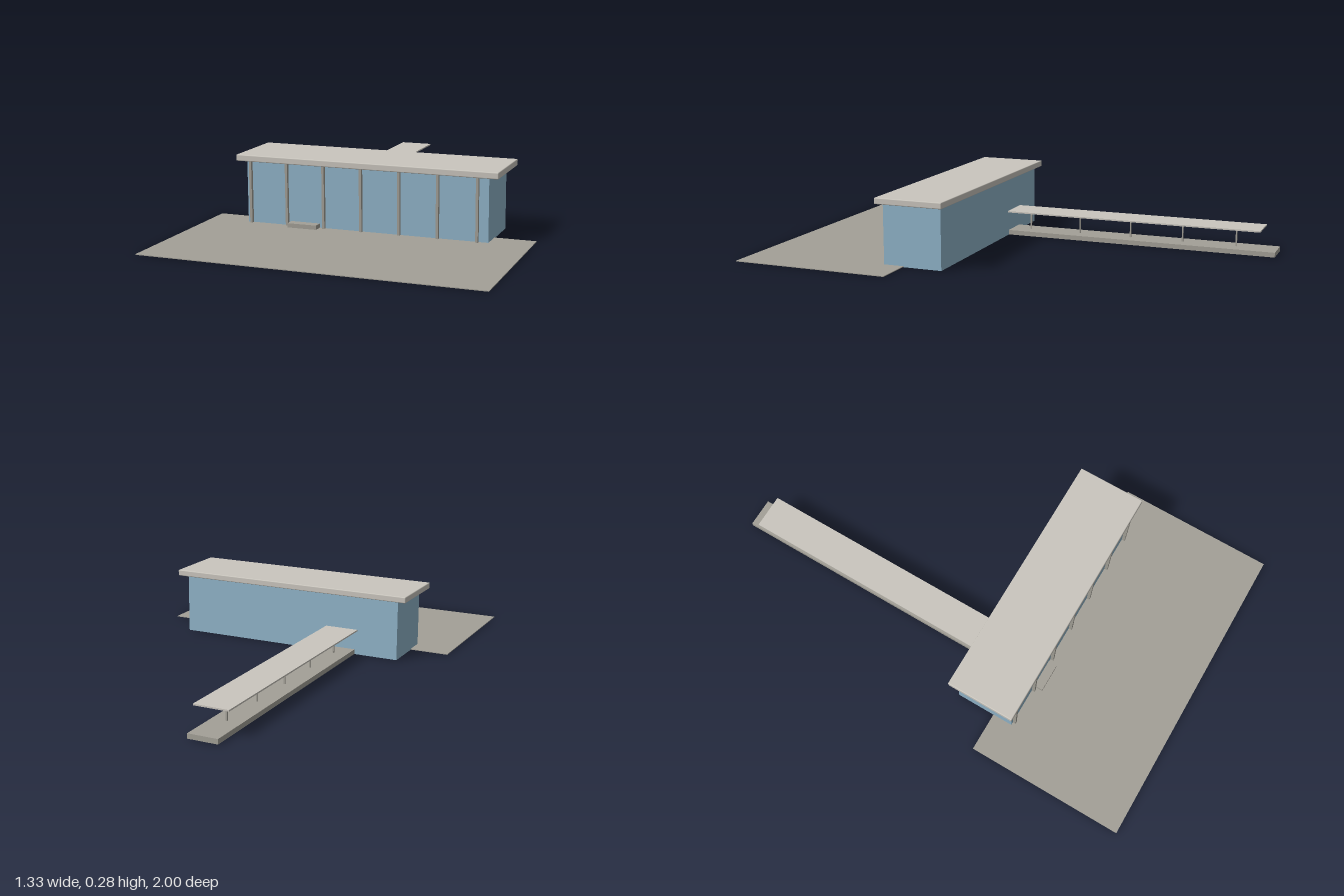
import * as THREE from 'three';
import { RoundedBoxGeometry } from 'three/addons/geometries/RoundedBoxGeometry.js';

const material = (name, color) => {
  const m = new THREE.MeshStandardMaterial({ color });
  m.name = name;
  return m;
};

export function createModel() {
  const model = new THREE.Group();
  model.name = 'stationPavilion';

  const roofStone = material('pale stone', 0xcac6be);
  const paving = material('grey paving', 0xa3a097);
  const glass = material('blue glass', 0x90b4c9);

  // Box given by its extents [min, max] on each axis
  const box = (name, mat, [x0, x1], [y0, y1], [z0, z1], radius = 0) => {
    const size = [x1 - x0, y1 - y0, z1 - z0];
    const geometry = radius
      ? new RoundedBoxGeometry(...size, 2, radius)
      : new THREE.BoxGeometry(...size);
    const mesh = new THREE.Mesh(geometry, mat);
    mesh.name = name;
    mesh.position.set((x0 + x1) / 2, (y0 + y1) / 2, (z0 + z1) / 2);
    model.add(mesh);
    return mesh;
  };

  // Forecourt and main hall
  box('forecourt', paving, [-0.665, 0.665], [0.001, 0.004], [0.333, 1]);
  box('glassHall', glass, [-0.5, 0.5], [0, 0.254], [0.168, 0.418]);
  box('hallRoof', roofStone, [-0.54, 0.54], [0.253, 0.279], [0.146, 0.436], 0.004);

  // Vertical mullions along the front
  for (let i = 0; i < 7; i++) {
    const x = -0.482 + i * 0.1565;
    box('mullion', paving, [x - 0.005, x + 0.005], [0, 0.253], [0.414, 0.431]);
  }

  // Platform, running through the hall to form the front step
  box('platform', paving, [-0.311, -0.189], [0.001, 0.021], [-1, 0.456]);

  // Platform canopy on a single row of slim posts
  box('canopy', roofStone, [-0.322, -0.178], [0.102, 0.108], [-0.94, 0.17]);
  for (let i = 0; i < 5; i++) {
    const z = 0.085 - i * 0.2285;
    box('canopyPost', paving, [-0.253, -0.247], [0.02, 0.103], [z - 0.003, z + 0.003]);
  }

  return model;
}
